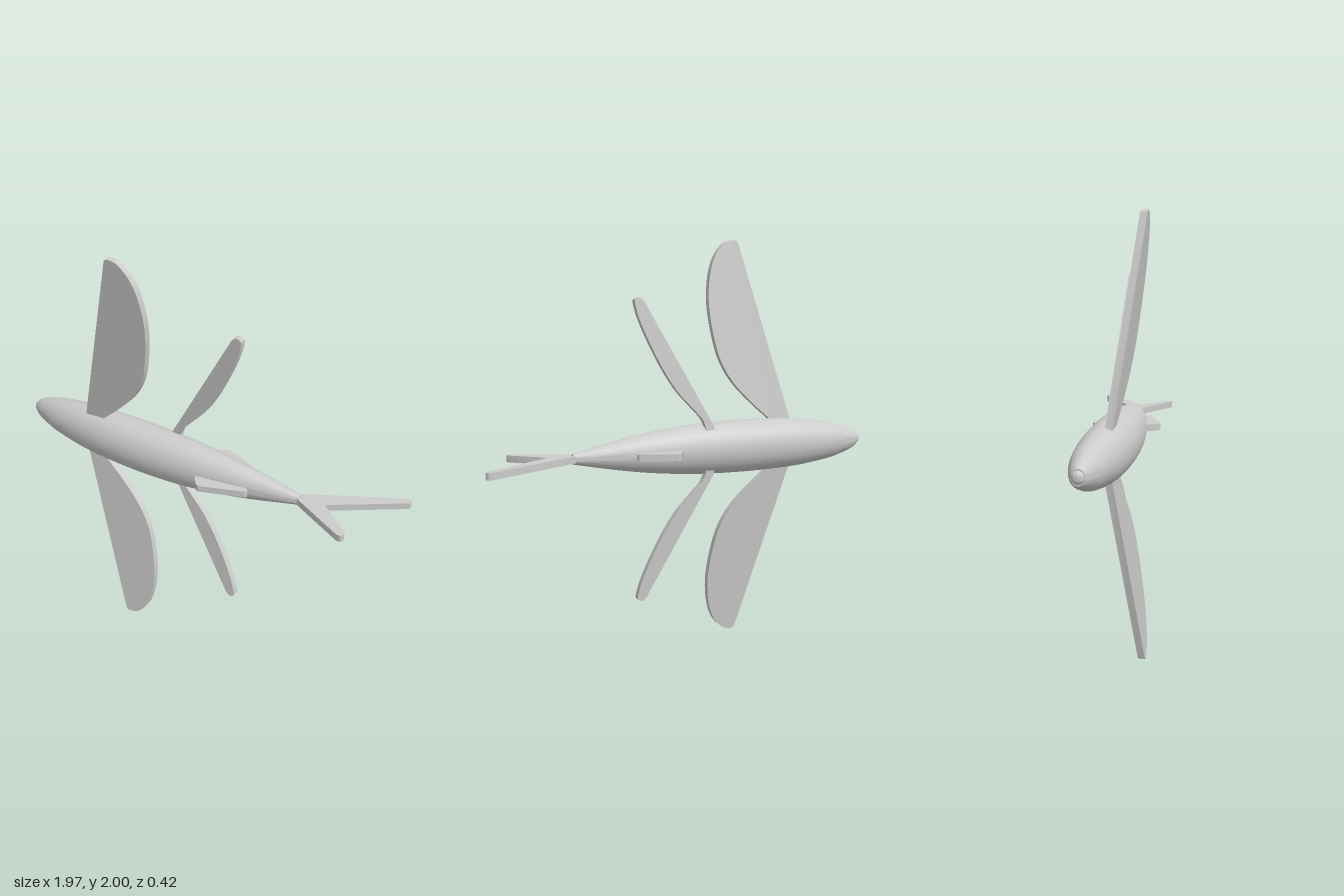
import * as THREE from 'three';
import { toCreasedNormals } from 'three/addons/utils/BufferGeometryUtils.js';

const material = new THREE.MeshStandardMaterial({ color: 0xcccccc });
const THICK = 0.032;
const v2 = (list) => list.map(([x, y]) => new THREE.Vector2(x, y));

function addMesh(group, name, geometry) {
  const mesh = new THREE.Mesh(toCreasedNormals(geometry, 0.6), material);
  mesh.name = name;
  group.add(mesh);
  return mesh;
}

// Body: a spindle along x, oval in section, with a slightly bulging belly (+z)
function bodyGeometry() {
  const curve = new THREE.SplineCurve(v2([
    [0.034, -0.965], [0.048, -0.945], [0.066, -0.9], [0.094, -0.8], [0.121, -0.6], [0.13, -0.35],
    [0.124, -0.1], [0.106, 0.1], [0.076, 0.3], [0.025, 0.55],
  ]));
  const points = [new THREE.Vector2(0, -0.965), ...curve.getPoints(48), new THREE.Vector2(0, 0.55)];
  const geometry = new THREE.LatheGeometry(points, 48).rotateZ(-Math.PI / 2).scale(1, 1, 0.85);
  const p = geometry.attributes.position;
  for (let i = 0; i < p.count; i++) {
    const t = (p.getX(i) + 0.98) / 1.53;
    p.setZ(i, p.getZ(i) + 0.03 + 0.025 * Math.sin(Math.PI * t));
  }
  return geometry;
}

// Fin standing up (side = 1) or hanging down (side = -1), leaning in z by a slope.
// Heights are measured from the body axis.
function pairedFin(straight, curved, side, zRoot, slope) {
  const flip = ([x, y]) => [x, y * side];
  const shape = new THREE.Shape();
  straight.map(flip).forEach(([x, y], i) => (i ? shape.lineTo(x, y) : shape.moveTo(x, y)));
  shape.splineThru(v2(curved.map(flip)));
  shape.closePath();
  const geometry = new THREE.ExtrudeGeometry(shape, { depth: THICK, bevelEnabled: false, curveSegments: 24 });
  const p = geometry.attributes.position;
  for (let i = 0; i < p.count; i++) {
    p.setZ(i, p.getZ(i) - THICK / 2 + zRoot + slope * Math.abs(p.getY(i)));
  }
  return geometry;
}

// Flat fin lying in the x-z plane
function flatFin(outline) {
  return new THREE.ExtrudeGeometry(new THREE.Shape(v2(outline)), { depth: THICK, bevelEnabled: false })
    .rotateX(Math.PI / 2).translate(0, THICK / 2, 0);
}

export function createModel() {
  const model = new THREE.Group();
  model.name = 'fish';
  const fish = new THREE.Group();
  fish.position.y = 1;
  model.add(fish);

  addMesh(fish, 'body', bodyGeometry());

  // Small rounded snout
  const snout = new THREE.LatheGeometry(v2([
    [0, -0.984], [0.016, -0.982], [0.024, -0.975], [0.027, -0.965], [0.027, -0.94],
  ]), 24).rotateZ(-Math.PI / 2).translate(0, 0, 0.03);
  addMesh(fish, 'snout', snout);

  // Mirrored pairs of pectoral and pelvic fins
  for (const side of [1, -1]) {
    const name = side > 0 ? 'upper' : 'lower';
    addMesh(fish, name + 'PectoralFin', pairedFin(
      [[-0.5, 0.07], [-0.598, 0.07], [-0.598, 0.115], [-0.345, 0.99], [-0.332, 1]],
      [[-0.28, 0.988], [-0.225, 0.93], [-0.19, 0.84], [-0.175, 0.71], [-0.19, 0.56], [-0.226, 0.42],
        [-0.29, 0.31], [-0.39, 0.205], [-0.48, 0.125], [-0.5, 0.1]],
      side, 0.066, 0.118));
    addMesh(fish, name + 'PelvicFin', pairedFin(
      [[-0.09, 0.07], [-0.15, 0.07], [-0.14, 0.12], [0.195, 0.71]],
      [[0.212, 0.725], [0.232, 0.723], [0.24, 0.7], [0.21, 0.6], [0.13, 0.43], [0.05, 0.3],
        [-0.03, 0.21], [-0.08, 0.155], [-0.1, 0.11]],
      side, -0.002, 0.069));
  }

  addMesh(fish, 'dorsalFin', flatFin([
    [0.02, 0.01], [0.02, -0.03], [0.072, -0.117], [0.088, -0.124], [0.26, -0.062], [0.267, -0.05], [0.245, 0.01],
  ]));
  addMesh(fish, 'analFin', flatFin([
    [0.04, 0.07], [0.06, 0.14], [0.1, 0.197], [0.117, 0.205], [0.318, 0.13], [0.326, 0.117], [0.28, 0.07],
  ]));

  // Forked tail with a longer upper lobe
  addMesh(fish, 'tailFin', flatFin([
    [0.52, 0.02], [0.96, -0.213], [0.975, -0.211], [0.985, -0.198], [0.98, -0.185], [0.667, 0.026],
    [0.818, 0.15], [0.824, 0.168], [0.814, 0.184], [0.796, 0.184], [0.52, 0.04],
  ]));

  return model;
}
